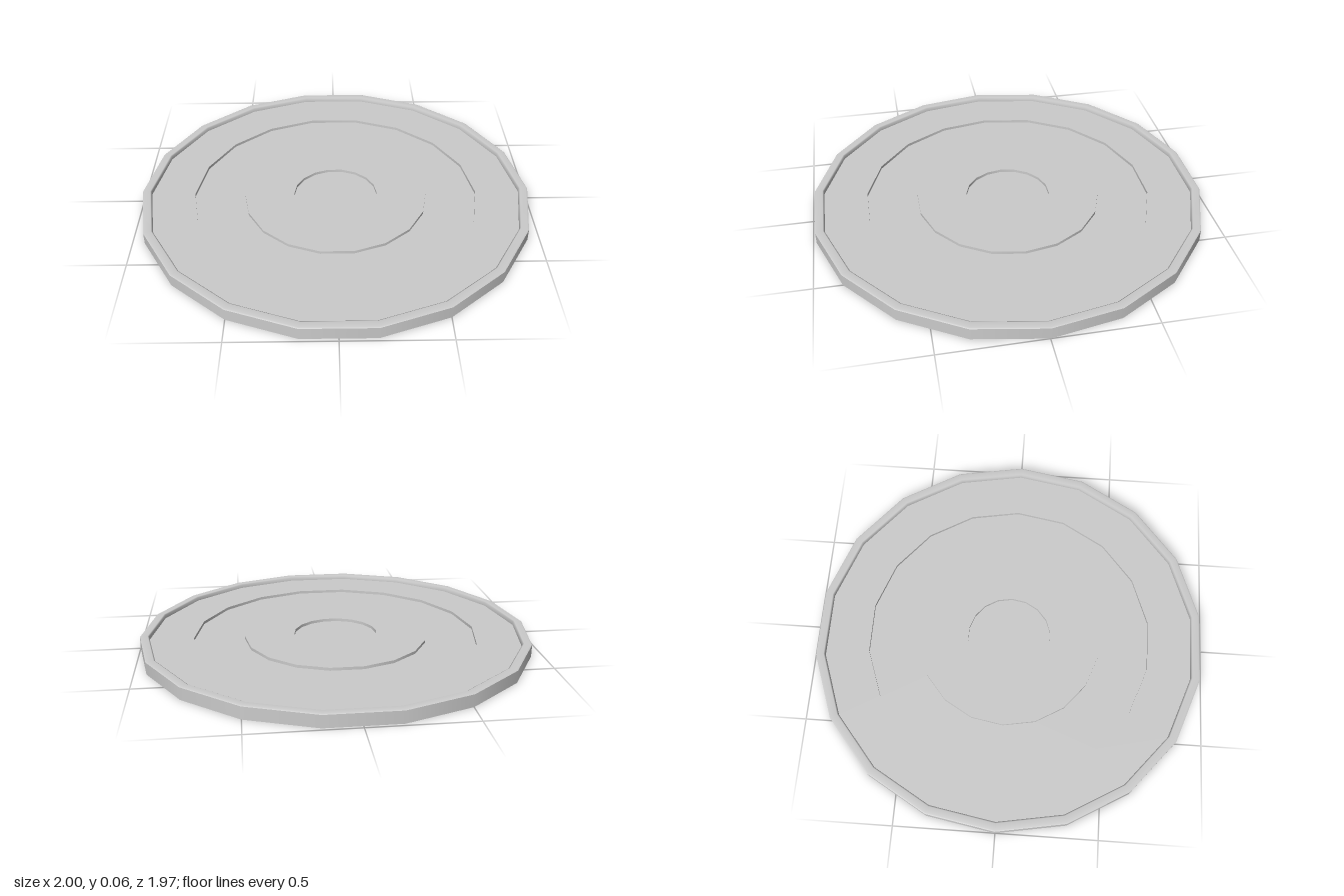
import * as THREE from 'three';

const SIDES = 18;
const FLOOR = 0.042; // raised floor height
const SUNK = 0.027;  // recessed floor height

export function createModel() {
  const group = new THREE.Group();
  const material = new THREE.MeshStandardMaterial({ color: 0xcccccc });

  // Revolves one [radius, height] band; separate bands keep sharp edges between them
  function band(name, points) {
    const profile = points.map(([r, y]) => new THREE.Vector2(r, y));
    const geometry = new THREE.LatheGeometry(profile, SIDES, Math.PI / 2);
    const mesh = new THREE.Mesh(geometry, material);
    mesh.name = name;
    group.add(mesh);
  }

  // Underside and outer wall
  band('underside', [[0, 0], [1, 0]]);
  band('outerWall', [[1, 0], [1, 0.061]]);

  // Softly rounded raised rim
  band('rim', [[1, 0.061], [0.993, 0.065], [0.961, 0.065], [0.954, 0.061], [0.954, FLOOR]]);

  // Stepped floors: each starts at its outer radius, then steps to the next
  const floors = [
    ['outerFloor', 0.954, 0.73, FLOOR],
    ['ringRecess', 0.73, 0.47, SUNK],
    ['raisedRing', 0.47, 0.215, FLOOR],
    ['centreRecess', 0.215, 0, SUNK],
  ];
  floors.forEach(([name, outer, inner, y], i) => {
    band(name, [[outer, y], [inner, y]]);
    if (i < floors.length - 1) band(name + 'Step', [[inner, y], [inner, floors[i + 1][3]]]);
  });

  return group;
}
